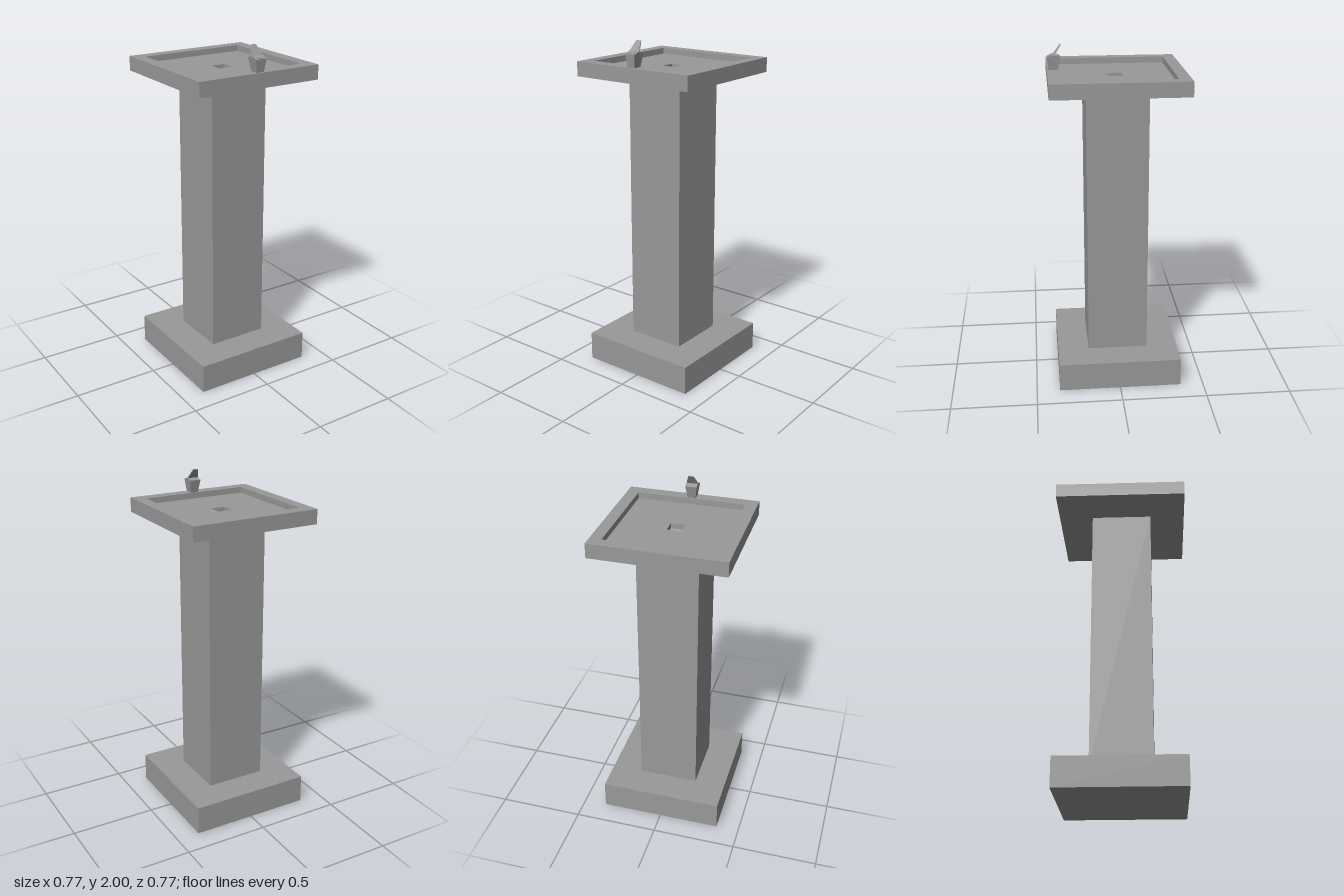
import * as THREE from 'three';

const stone = new THREE.MeshStandardMaterial({ color: 0x999999 });
stone.name = 'stone grey';
const pale = new THREE.MeshStandardMaterial({ color: 0xa3a3a3 });
pale.name = 'pale grey';

function part(group, name, geometry, material = stone) {
  const mesh = new THREE.Mesh(geometry, material);
  mesh.name = name;
  group.add(mesh);
  return mesh;
}

// Square block from y0 to y1
function block(half, y0, y1) {
  return new THREE.BoxGeometry(half * 2, y1 - y0, half * 2).translate(0, (y0 + y1) / 2, 0);
}

// Square slab with a square hole through it
function frame(half, hole, y0, y1) {
  const square = (h) => [[-h, -h], [h, -h], [h, h], [-h, h]].map(([x, y]) => new THREE.Vector2(x, y));
  const shape = new THREE.Shape(square(half));
  shape.holes.push(new THREE.Path(square(hole).reverse()));
  return new THREE.ExtrudeGeometry(shape, { depth: y1 - y0, bevelEnabled: false })
    .rotateX(-Math.PI / 2).translate(0, y0, 0);
}

// Profile in (z, y), extruded along x; widthAt gives the half width at each height
function sideProfile(points, widthAt) {
  const shape = new THREE.Shape(points.map(([z, y]) => new THREE.Vector2(z, y)));
  const geometry = new THREE.ExtrudeGeometry(shape, { depth: 2, bevelEnabled: false })
    .translate(0, 0, -1).rotateY(-Math.PI / 2);
  const p = geometry.attributes.position;
  for (let i = 0; i < p.count; i++) p.setX(i, Math.sign(p.getX(i)) * widthAt(p.getY(i)));
  geometry.computeVertexNormals();
  return geometry;
}

export function createModel() {
  const model = new THREE.Group();
  model.name = 'drinkingFountain';

  // Pedestal
  part(model, 'base', block(0.363, 0, 0.17));
  part(model, 'column', block(0.178, 0.17, 1.752));

  // Basin: shallow tapered underside, rim, recessed floor and drain
  const taper = new THREE.CylinderGeometry(0.385 * Math.SQRT2, 0.178 * Math.SQRT2, 0.023, 4, 1, true)
    .rotateY(Math.PI / 4).toNonIndexed();
  taper.computeVertexNormals();
  part(model, 'basinUnderside', taper.translate(0, 1.7635, 0));
  part(model, 'basinRim', frame(0.385, 0.316, 1.775, 1.86));
  part(model, 'basinFloor', frame(0.316, 0.042, 1.775, 1.825));
  part(model, 'drain', block(0.042, 1.775, 1.795), pale);

  // Tap: flared body with a ridged top, a push button and a leaning lever
  const tap = new THREE.Group();
  tap.name = 'tap';
  model.add(tap);

  part(tap, 'tapBody', sideProfile(
    [[0.323, 1.86], [0.374, 1.86], [0.383, 1.932], [0.347, 1.947], [0.307, 1.934]],
    (y) => THREE.MathUtils.mapLinear(Math.min(y, 1.932), 1.86, 1.932, 0.023, 0.034)));

  const button = part(tap, 'tapButton', new THREE.BoxGeometry(0.04, 0.005, 0.025));
  button.position.set(0, 1.9395, 0.366);
  button.rotation.x = Math.atan2(0.015, 0.036);

  part(tap, 'tapLever', sideProfile(
    [[0.339, 1.942], [0.348, 1.942], [0.308, 2.0], [0.303, 1.998]],
    (y) => THREE.MathUtils.mapLinear(y, 1.942, 2.0, 0.034, 0.015)));

  return model;
}
